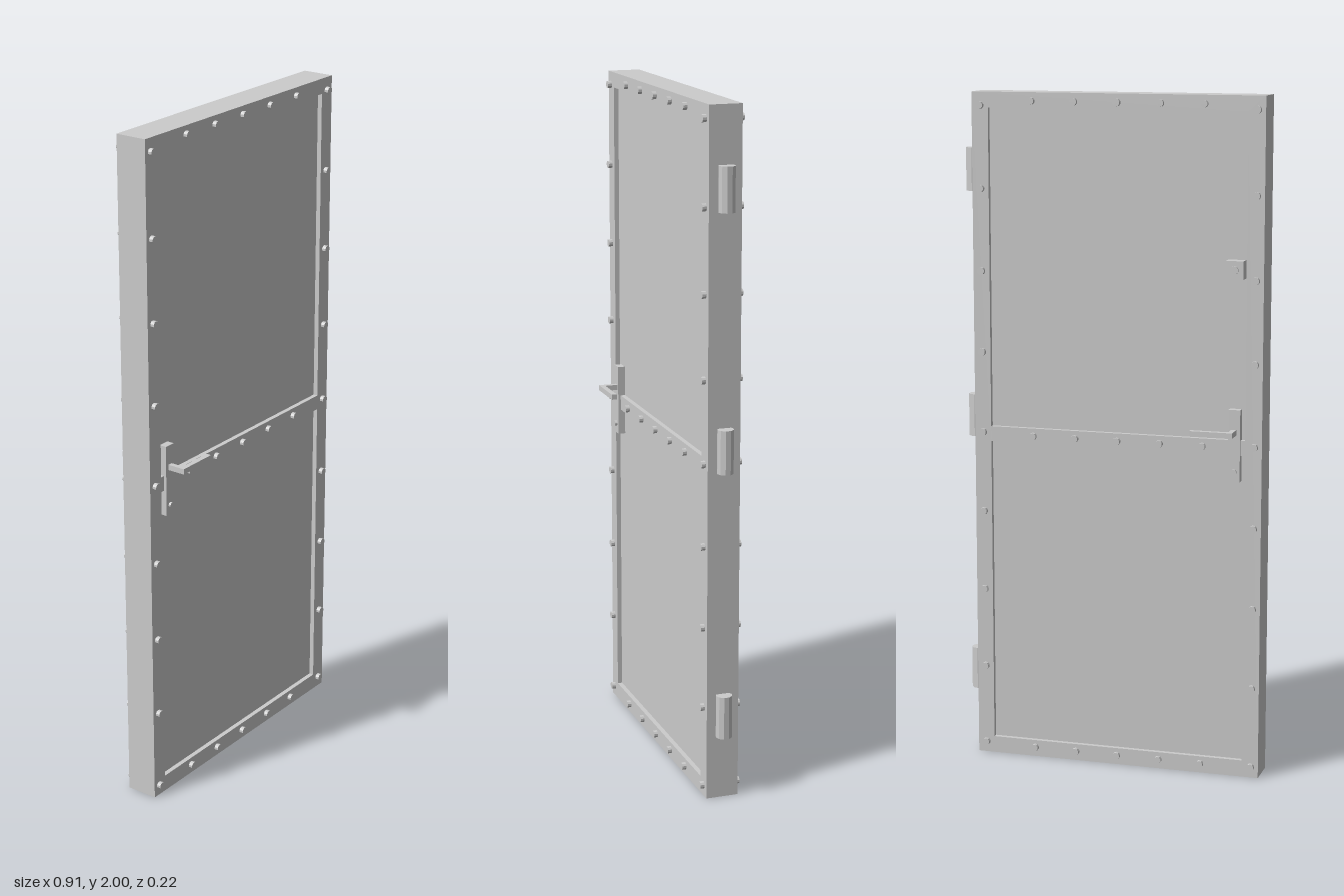
import * as THREE from 'three';

export function createModel() {
  const model = new THREE.Group();
  const mat = new THREE.MeshStandardMaterial({ color: 0xcccccc, flatShading: true });
  const add = (parent, name, geo, x = 0, y = 0, z = 0) => {
    const mesh = new THREE.Mesh(geo, mat);
    mesh.name = name;
    mesh.position.set(x, y, z);
    parent.add(mesh);
    return mesh;
  };
  // box given by its limits on each axis
  const box = (parent, name, x0, x1, y0, y1, z0, z1) =>
    add(parent, name, new THREE.BoxGeometry(x1 - x0, y1 - y0, z1 - z0),
      (x0 + x1) / 2, (y0 + y1) / 2, (z0 + z1) / 2);
  const rect = (P, x0, x1, y0, y1) => new P([[x0, y0], [x1, y0], [x1, y1], [x0, y1]]
    .map(([x, y]) => new THREE.Vector2(x, y)));

  // Frame with two openings, and the recessed panels filling them
  const half = 0.048, recess = 0.014;
  const openings = [[0.05, 0.97], [1.015, 1.955]];
  const outline = rect(THREE.Shape, -0.455, 0.42, 0, 2);
  for (const [y0, y1] of openings) outline.holes.push(rect(THREE.Path, -0.405, 0.37, y0, y1));
  add(model, 'frame', new THREE.ExtrudeGeometry(outline, { depth: half * 2, bevelEnabled: false }), 0, 0, -half);
  for (const [y0, y1] of openings) {
    box(model, 'panel', -0.405, 0.37, y0, y1, recess - half, half - recess);
  }

  // Rivet positions around the frame and along the middle rail
  const spots = [];
  for (let i = 0; i < 9; i++) {
    const y = 0.033 + i * 0.241;
    spots.push([-0.433, y], [0.394, y]);
  }
  for (const y of [0.028, 0.992, 1.975]) {
    for (let i = 0; i < 5; i++) spots.push([-0.278 + i * 0.129, y]);
  }
  const rivetGeo = new THREE.CylinderGeometry(0.011, 0.011, 0.024, 10).rotateX(Math.PI / 2);
  const rivets = new THREE.Group();
  rivets.name = 'rivets';
  model.add(rivets);
  for (const [x, y] of spots) {
    for (const s of [1, -1]) add(rivets, 'rivet', rivetGeo, x, y, s * half);
  }

  // Hinge barrels
  const hingeGeo = new THREE.CylinderGeometry(0.024, 0.024, 0.127, 10);
  for (const y of [0.254, 1.04, 1.773]) add(model, 'hinge', hingeGeo, 0.431, y, 0);

  // Lever handles with backplate and key cylinder, one per face
  for (const s of [1, -1]) {
    const handle = new THREE.Group();
    handle.name = s > 0 ? 'frontHandle' : 'backHandle';
    model.add(handle);
    const slab = (name, x0, x1, y0, y1, z0, z1) =>
      box(handle, name, x0, x1, y0, y1, Math.min(s * z0, s * z1), Math.max(s * z0, s * z1));
    slab('backplate', -0.392, -0.357, 0.893, 1.105, half - recess, 0.056);
    slab('stem', -0.381, -0.366, 1.031, 1.047, 0.05, 0.11);
    slab('lever', -0.381, -0.254, 1.031, 1.047, 0.094, 0.11);
    const key = new THREE.CylinderGeometry(0.008, 0.008, 0.03, 10).rotateX(Math.PI / 2);
    add(handle, 'keyCylinder', key, -0.375, 0.923, s * 0.048);
  }

  // Deadbolt on the back face
  const bolt = new THREE.Group();
  bolt.name = 'deadbolt';
  model.add(bolt);
  box(bolt, 'boltHousing', -0.4, -0.348, 1.483, 1.536, -0.069, recess - half);
  const knob = new THREE.CylinderGeometry(0.012, 0.012, 0.012, 10).rotateX(Math.PI / 2);
  add(bolt, 'boltKnob', knob, -0.374, 1.51, -0.069);

  return model;
}
